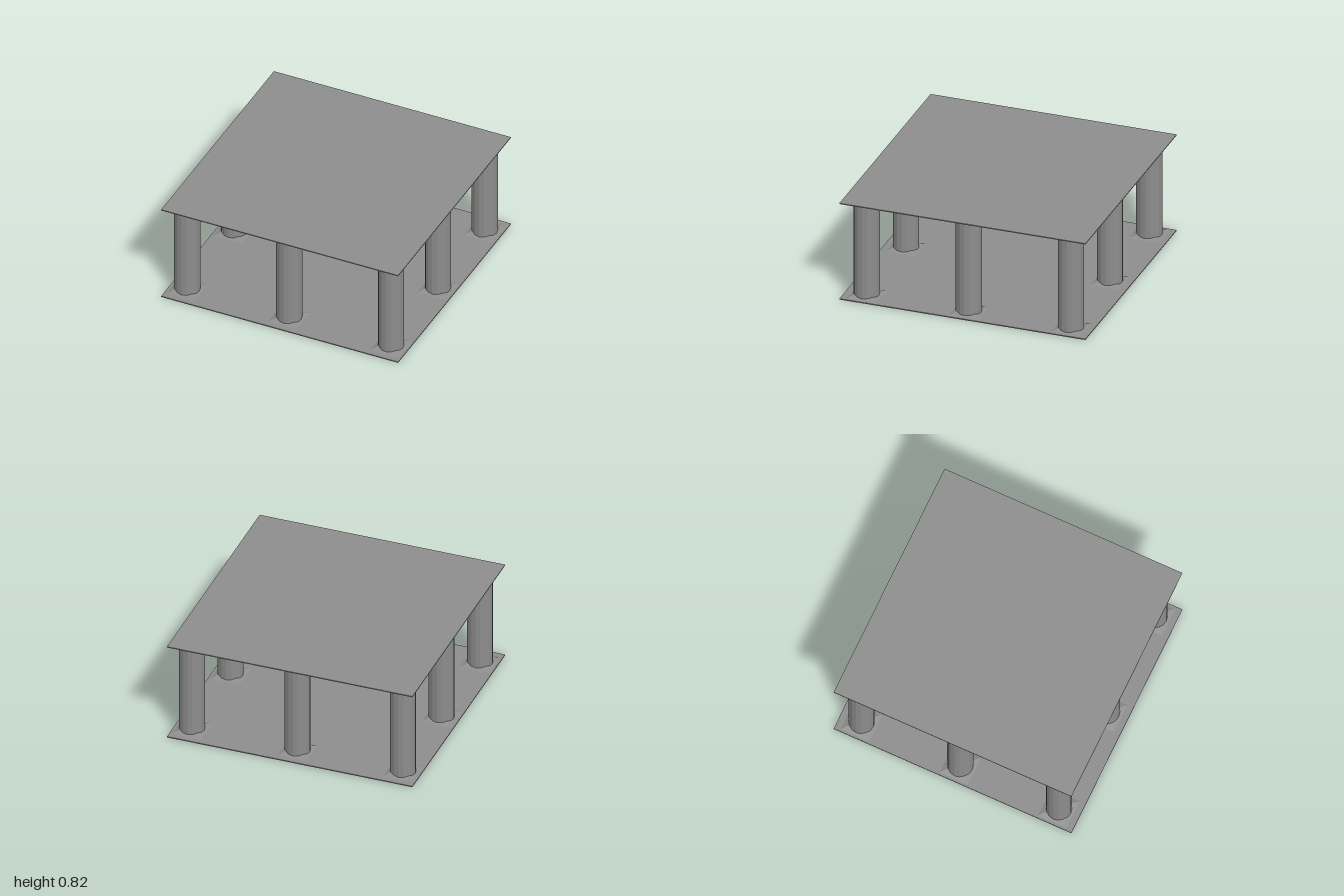
import * as THREE from 'three';

export function createModel() {
  const model = new THREE.Group();
  const material = new THREE.MeshStandardMaterial({ color: 0x8d8d8d, flatShading: true });
  const height = 0.82, slab = 0.008, flare = 0.02;

  const add = (parent, name, geometry, y) => {
    const mesh = new THREE.Mesh(geometry, material);
    mesh.name = name;
    mesh.position.y = y;
    parent.add(mesh);
    return mesh;
  };

  // Thin square floor and roof
  const slabGeometry = new THREE.BoxGeometry(2, slab, 2);
  add(model, 'floorSlab', slabGeometry, slab / 2);
  add(model, 'roofSlab', slabGeometry, height - slab / 2);

  // Faceted shaft, and a low pyramid pad whose ridges run into it
  const shaftGeometry = new THREE.CylinderGeometry(0.1, 0.1, height - 2 * slab, 16, 1, true);
  const padGeometry = new THREE.CylinderGeometry(0.14 / Math.SQRT2, 0.24 / Math.SQRT2, flare, 4);
  padGeometry.rotateY(Math.PI / 4);

  // Eight columns around the edge, none in the middle
  for (const x of [-0.86, 0, 0.86]) {
    for (const z of [-0.83, 0, 0.83]) {
      if (x === 0 && z === 0) continue;
      const column = new THREE.Group();
      column.name = 'column';
      column.position.set(x, 0, z);
      add(column, 'shaft', shaftGeometry, height / 2);
      add(column, 'basePad', padGeometry, slab + flare / 2);
      add(column, 'capitalPad', padGeometry, height - slab - flare / 2).rotation.x = Math.PI;
      model.add(column);
    }
  }
  return model;
}
